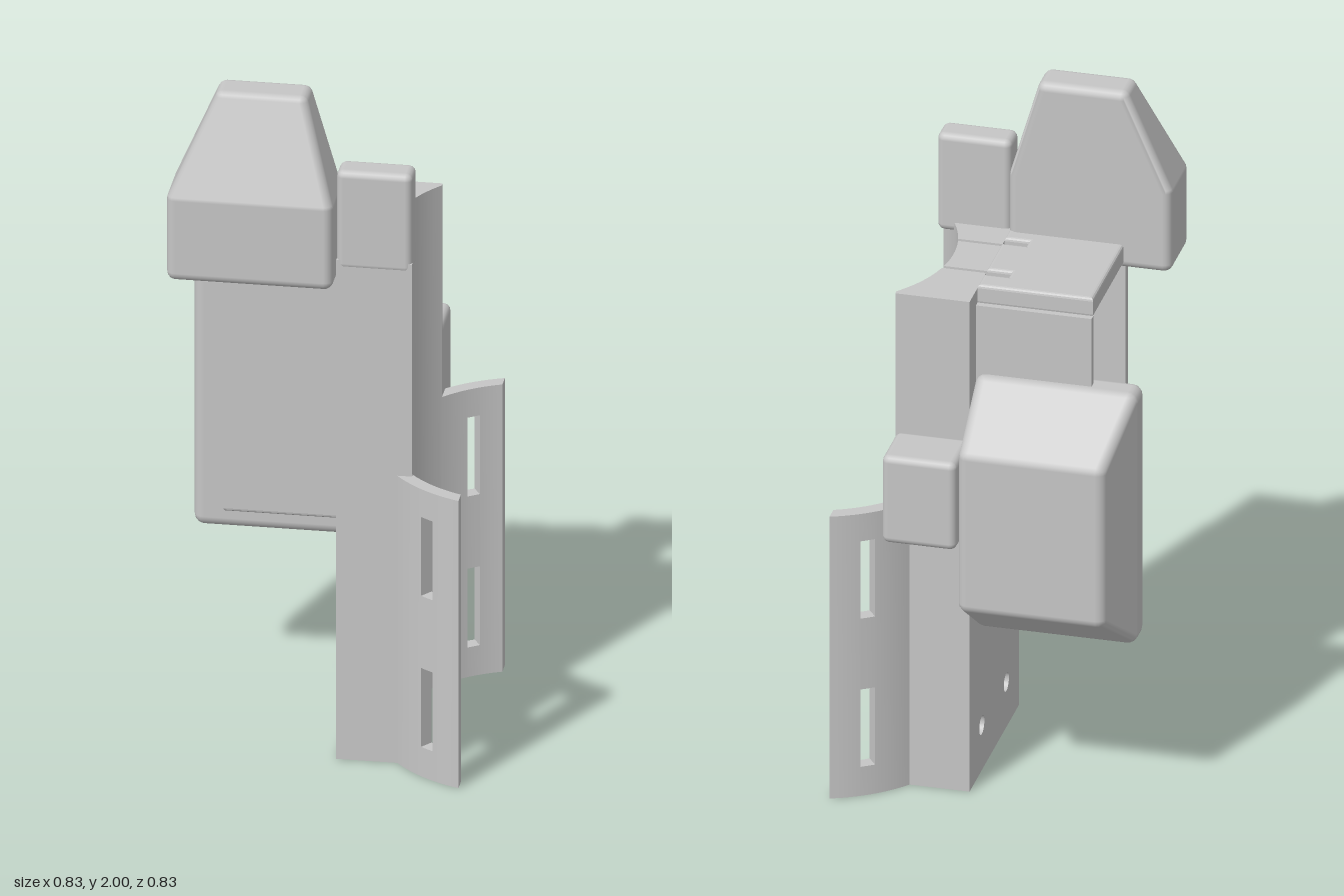
import * as THREE from 'three';
import { toCreasedNormals } from 'three/addons/utils/BufferGeometryUtils.js';
import { ConvexGeometry } from 'three/addons/geometries/ConvexGeometry.js';

const ZC = 0.006; // middle of the clamp in z
const AXIS = 0.56, R_IN = 0.394, R_OUT = 0.434; // axis and radii of the curved cradle

// Upright wall from y = 0 to top, running along u between depths near(u) and far(u).
// Each cut removes lo(u)..hi(u) for u0 <= u <= u1, listed from the bottom up.
function curvedWall(breaks, top, near, far, cuts, place) {
  const us = [...breaks, ...cuts.flatMap(c => [c.u0, c.u1])].sort((a, b) => a - b)
    .filter((u, i, all) => i === 0 || u - all[i - 1] > 1e-5);
  const pos = [];
  const quad = (...c) => [0, 1, 2, 0, 2, 3].forEach(i => pos.push(...place(...c[i])));
  const endCap = (u, lo, hi, flip) => {
    if (hi - lo < 1e-4) return;
    const c = [[u, lo, near(u)], [u, lo, far(u)], [u, hi, far(u)], [u, hi, near(u)]];
    quad(...(flip ? c.reverse() : c));
  };
  for (let i = 0; i + 1 < us.length; i++) {
    const a = us[i], b = us[i + 1], mid = (a + b) / 2;
    const active = cuts.filter(c => c.u0 < mid && mid < c.u1);
    const los = [() => 0, ...active.map(c => c.hi)], his = [...active.map(c => c.lo), () => top];
    los.forEach((lo, k) => {
      const hi = his[k];
      if (hi(mid) - lo(mid) < 1e-4) return;
      quad([a, lo(a), far(a)], [b, lo(b), far(b)], [b, hi(b), far(b)], [a, hi(a), far(a)]);
      quad([b, lo(b), near(b)], [a, lo(a), near(a)], [a, hi(a), near(a)], [b, hi(b), near(b)]);
      quad([a, hi(a), far(a)], [b, hi(b), far(b)], [b, hi(b), near(b)], [a, hi(a), near(a)]);
      quad([a, lo(a), near(a)], [b, lo(b), near(b)], [b, lo(b), far(b)], [a, lo(a), far(a)]);
    });
  }
  endCap(us[0], 0, top, false);
  endCap(us.at(-1), 0, top, true);
  cuts.forEach(c => {
    endCap(c.u0, c.lo(c.u0), c.hi(c.u0), true);
    endCap(c.u1, c.lo(c.u1), c.hi(c.u1), false);
  });
  const g = new THREE.BufferGeometry();
  g.setAttribute('position', new THREE.Float32BufferAttribute(pos, 3));
  return toCreasedNormals(g, 0.5);
}

const slot = (u0, u1, y0, y1) => ({ u0, u1, lo: () => y0, hi: () => y1 });
const range = (a, b, n) => Array.from({ length: n + 1 }, (_, i) => a + (b - a) * i / n);

// Convex block with rounded edges: a ball of radius r at each corner of the given boxes.
function softBlock(r, ...boxes) {
  const centres = [], points = new Map();
  for (const [x0, x1, y0, y1, z0, z1] of boxes)
    for (const x of new Set([x0, x1])) for (const y of new Set([y0, y1])) for (const z of new Set([z0, z1]))
      centres.push(new THREE.Vector3(x, y, z));
  const ball = new THREE.SphereGeometry(r, 16, 8).attributes.position;
  for (const c of centres)
    for (let i = 0; i < ball.count; i++) {
      const p = new THREE.Vector3().fromBufferAttribute(ball, i).add(c);
      points.set(p.toArray().map(v => v.toFixed(4)).join(), p);
    }
  const g = new ConvexGeometry([...points.values()]);
  const { position, normal } = g.attributes;
  const p = new THREE.Vector3();
  for (let i = 0; i < position.count; i++) {
    p.fromBufferAttribute(position, i);
    const c = centres.reduce((m, q) => (p.distanceTo(q) < p.distanceTo(m) ? q : m));
    p.sub(c).normalize();
    normal.setXYZ(i, p.x, p.y, p.z);
  }
  return g;
}
// Plain rounded box given by its outer limits
const softBox = (r, x0, x1, y0, y1, z0, z1) =>
  softBlock(r, [x0 + r, x1 - r, y0 + r, y1 - r, z0 + r, z1 - r]);

export function createModel() {
  const model = new THREE.Group();
  const grey = new THREE.MeshStandardMaterial({ color: 0xc6c6c6, side: THREE.DoubleSide });
  grey.name = 'light grey';
  const add = (name, geometry) => {
    const mesh = new THREE.Mesh(geometry, grey);
    mesh.name = name;
    model.add(mesh);
    return mesh;
  };

  // Main upright with a concave face, a round bore and strap slits
  const zMin = -0.265, zMax = 0.277, top = 1.52, boreY = 1.265, boreR = 0.089;
  const slitZ = [-0.077, 0.092], slitHalf = 0.006;
  const concave = z => Math.min(0.262, AXIS - Math.sqrt(R_IN ** 2 - (z - ZC) ** 2));
  const chord = z => Math.sqrt(Math.max(0, boreR ** 2 - (z - ZC) ** 2));
  const cuts = [
    ...slitZ.map(z => slot(z - slitHalf, z + slitHalf, 0.69, 0.81)),
    { u0: ZC - boreR, u1: ZC + boreR, lo: z => boreY - chord(z), hi: z => boreY + chord(z) },
    ...slitZ.map(z => slot(z - slitHalf, z + slitHalf, 1.42, top)),
  ];
  const boreBreaks = range(0, Math.PI, 20).map(t => ZC - boreR * Math.cos(t));
  add('concaveUpright', curvedWall([...range(zMin, zMax, 28), ...boreBreaks, ZC - 0.2577, ZC + 0.2577],
    top, () => 0.09, concave, cuts, (u, y, d) => [d, y, u]));

  // Back layer of the upright with the bore, slits and two blind screw holes
  const back = new THREE.Shape([[zMin, 0], [zMax, 0], [zMax, top],
    ...[...slitZ].reverse().flatMap(z => [[z + slitHalf, top], [z + slitHalf, 1.42], [z - slitHalf, 1.42], [z - slitHalf, top]]),
    [zMin, top]].map(([z, y]) => new THREE.Vector2(-z, y)));
  const roundHole = (z, y, r) => back.holes.push(new THREE.Path().absarc(-z, y, r, 0, Math.PI * 2));
  roundHole(ZC, boreY, boreR);
  for (const z of [-0.13, 0.14]) roundHole(z, 0.14, 0.028);
  for (const z of slitZ)
    back.holes.push(new THREE.Path([[-1, 0.69], [1, 0.69], [1, 0.81], [-1, 0.81]]
      .map(([s, y]) => new THREE.Vector2(-z + s * slitHalf, y))));
  const backPlate = add('uprightBack',
    new THREE.ExtrudeGeometry(back, { depth: 0.04, bevelEnabled: false, curveSegments: 24 }));
  backPlate.rotation.y = Math.PI / 2;
  backPlate.position.x = 0.05;

  // Curved side wings, swept by angle and cut off flat at the open end, with radial strap slots
  const reach = AXIS - 0.414;
  for (const side of [1, -1])
    add(side > 0 ? 'frontWing' : 'backWing', curvedWall(
      [0.672, ...range(0.705, Math.acos(reach / R_IN), 12), Math.acos(reach / R_OUT)], 0.875,
      a => (a < 0.7 ? R_IN + 0.01 : Math.max(R_IN, reach / Math.cos(a))), () => R_OUT,
      [slot(0.928, 1.026, 0.09, 0.33), slot(0.928, 1.026, 0.55, 0.79)],
      (a, y, d) => [AXIS - d * Math.cos(a), y, ZC + side * d * Math.sin(a)]));

  // Open housing behind the upright: two walls and two notched end plates
  for (const z of [-0.183, 0.193]) {
    const wall = add('housingWall', new THREE.BoxGeometry(0.33, 0.73, 0.024));
    wall.position.set(-0.115, 1.11, z);
  }
  const plateShape = new THREE.Shape([[-0.28, -0.178], [0.05, -0.178],
    ...[-0.092, 0.102].flatMap(z => [[0.05, z - 0.015], [-0.02, z - 0.015], [-0.02, z + 0.015], [0.05, z + 0.015]]),
    [0.05, 0.19], [-0.28, 0.19]].map(([x, z]) => new THREE.Vector2(x, -z)));
  for (const y of [0.69, 1.47]) {
    const plate = add('housingPlate', new THREE.ExtrudeGeometry(plateShape,
      { depth: 0.04, bevelThickness: 0.01, bevelSize: 0.01, bevelOffset: -0.01, bevelSegments: 3 }));
    plate.rotation.x = -Math.PI / 2;
    plate.position.y = y + 0.01;
  }

  // Tapered pads
  add('upperPad', softBlock(0.025, [-0.39, 0.025, 1.48, 1.7, 0.183, 0.327], [-0.27, -0.055, 1.975, 1.975, 0.183, 0.245]));
  add('lowerPad', softBlock(0.03, [-0.385, 0.02, 0.52, 1.235, -0.2, -0.158], [-0.345, 0.02, 0.65, 1.1, -0.38, -0.38]));

  // Small blocks joining the pads to the upright
  add('upperLug', softBox(0.02, 0.05, 0.262, 1.49, 1.79, 0.19, 0.279));
  add('lowerLug', softBox(0.02, 0.05, 0.262, 0.82, 1.09, -0.42, -0.253));

  return model;
}
